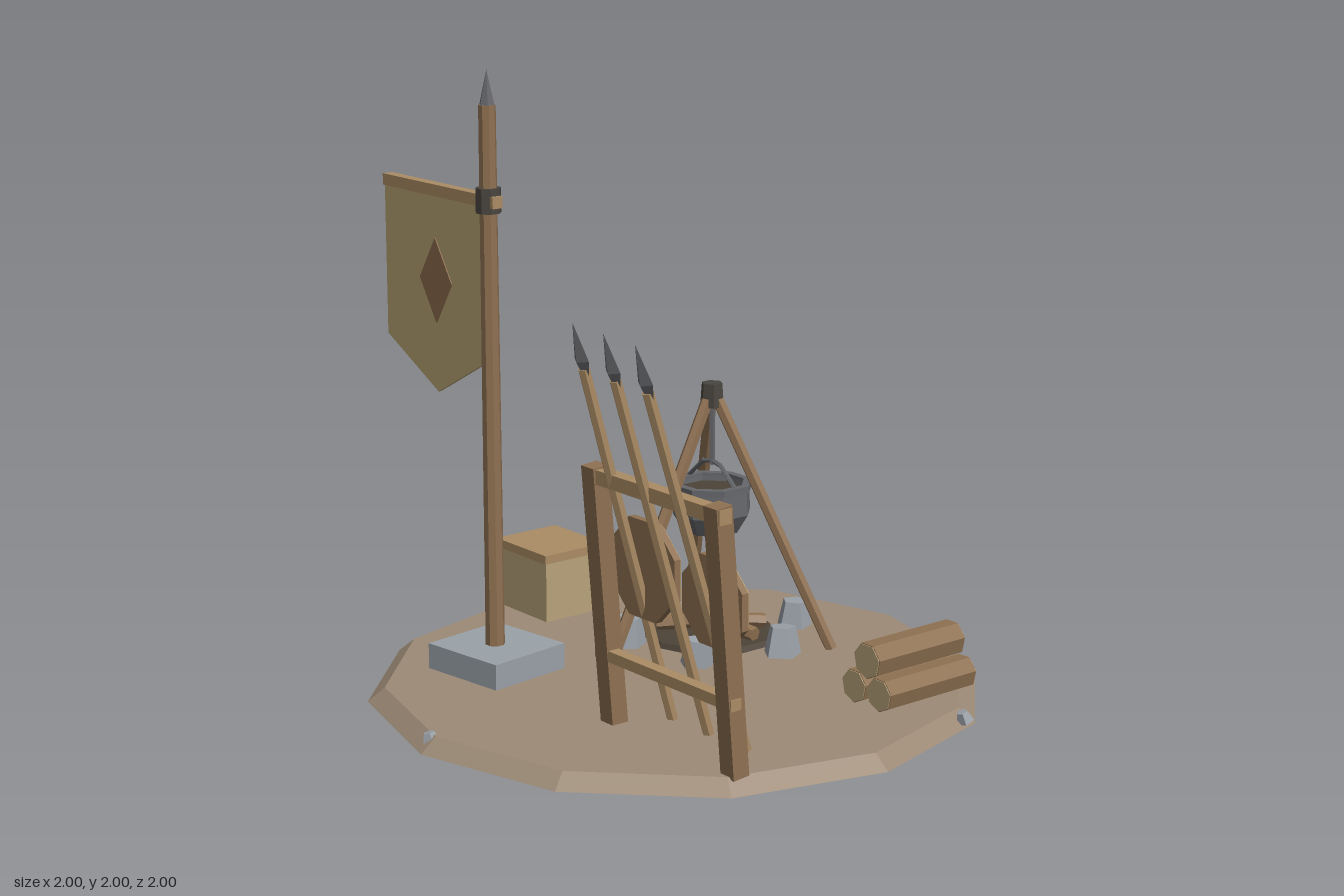
import * as THREE from 'three';

const mat = (color) => new THREE.MeshStandardMaterial({ color, flatShading: true, side: THREE.DoubleSide });
const M = {
  earth: mat(0x9c8a76), wood: mat(0x8f7152), light: mat(0xab8c65), dark: mat(0x5f4a35), pale: mat(0xb8a27a),
  cloth: mat(0xb5a272), emblem: mat(0x8a6a4a), stone: mat(0x9aa1a8), iron: mat(0x66676b), band: mat(0x4a4540), ash: mat(0x4d4338),
};
const V = (x, y, z) => new THREE.Vector3(x, y, z);

export function createModel() {
  const root = new THREE.Group();

  const group = (name, parent = root) => {
    const g = new THREE.Group();
    g.name = name;
    parent.add(g);
    return g;
  };
  const add = (parent, name, geo, material, x = 0, y = 0, z = 0) => {
    const m = new THREE.Mesh(geo, material);
    m.name = name;
    m.position.set(x, y, z);
    parent.add(m);
    return m;
  };
  const box = (p, name, w, h, d, material, x, y, z) => add(p, name, new THREE.BoxGeometry(w, h, d), material, x, y, z);
  const cyl = (p, name, rt, rb, h, n, material, x, y, z, turn = 0) =>
    add(p, name, new THREE.CylinderGeometry(rt, rb, h, n).rotateY(turn), material, x, y, z);
  // Round or square bar between two points
  const bar = (p, name, a, b, r, n, material, rTop = r, turn = 0) => {
    const d = b.clone().sub(a);
    const m = cyl(p, name, rTop, r, d.length(), n, material, 0, 0, 0, turn);
    m.position.copy(a).add(b).multiplyScalar(0.5);
    m.quaternion.setFromUnitVectors(V(0, 1, 0), d.normalize());
    return m;
  };
  const lathe = (p, name, pts, n, material, x, y, z) =>
    add(p, name, new THREE.LatheGeometry(pts.map(([r, h]) => new THREE.Vector2(r, h)), n, Math.PI / n), material, x, y, z);

  // Ground
  cyl(root, 'ground', 0.945, 1, 0.045, 12, M.earth, 0, 0.0225, 0);

  // Banner
  const banner = group('banner');
  box(banner, 'plinth', 0.32, 0.085, 0.305, M.stone, -0.4, 0.0875, 0.43).rotation.y = 0.13;
  cyl(banner, 'pole', 0.028, 0.032, 1.77, 8, M.wood, -0.4, 1.005, 0.435, Math.PI / 8);
  cyl(banner, 'poleTip', 0, 0.026, 0.11, 6, M.iron, -0.4, 1.945, 0.435);
  cyl(banner, 'poleBand', 0.041, 0.041, 0.08, 8, M.band, -0.4, 1.59, 0.435, Math.PI / 8);
  box(banner, 'crossbar', 0.62, 0.038, 0.038, M.light, -0.66, 1.588, 0.435);
  const flag = new THREE.Shape([[-0.98, 1.575], [-0.98, 1.068], [-0.69, 0.92], [-0.41, 1.068], [-0.41, 1.575]]
    .map(([x, y]) => new THREE.Vector2(x, y)));
  add(banner, 'flag', new THREE.ExtrudeGeometry(flag, { depth: 0.01, bevelEnabled: false }), M.cloth, 0, 0, 0.43);
  const diamond = new THREE.Shape([[0, 0.14], [-0.09, 0], [0, -0.14], [0.09, 0]].map(([x, y]) => new THREE.Vector2(x, y)));
  add(banner, 'flagDiamond', new THREE.ExtrudeGeometry(diamond, { depth: 0.018, bevelEnabled: false }), M.emblem, -0.69, 1.29, 0.426);

  // Tripod and pot
  const cx = -0.225, cz = -0.335;
  const tripod = group('tripod');
  for (let i = 0; i < 3; i++) {
    const a = (i * 2 * Math.PI) / 3;
    const s = Math.sin(a), c = Math.cos(a);
    bar(tripod, 'tripodLeg', V(cx + s * 0.425, 0.045, cz + c * 0.425), V(cx + s * 0.012, 0.88, cz + c * 0.012), 0.021, 6, M.wood);
  }
  cyl(tripod, 'tripodLashing', 0.036, 0.042, 0.08, 6, M.band, cx, 0.88, cz);
  bar(tripod, 'hangingRod', V(cx, 0.64, cz), V(cx, 0.86, cz), 0.01, 5, M.iron);
  const pot = group('pot');
  lathe(pot, 'potBody', [[0, 0.415], [0.095, 0.415], [0.135, 0.48], [0.13, 0.57], [0.112, 0.57], [0.11, 0.545]], 8, M.iron, cx, 0, cz);
  lathe(pot, 'potRim', [[0.112, 0.56], [0.14, 0.56], [0.14, 0.582], [0.112, 0.582], [0.112, 0.56]], 8, M.iron, cx, 0, cz);
  cyl(pot, 'stew', 0.113, 0.113, 0.01, 8, M.ash, cx, 0.55, cz, Math.PI / 8);
  for (const s of [-1, 1]) {
    bar(pot, 'potHandle', V(cx + s * 0.125, 0.575, cz), V(cx + s * 0.04, 0.648, cz), 0.008, 5, M.iron);
    bar(pot, 'potHandleTop', V(cx + s * 0.04, 0.645, cz), V(cx, 0.655, cz), 0.008, 5, M.iron);
  }

  // Fire pit
  const fire = group('firePit');
  cyl(fire, 'ashBed', 0.22, 0.23, 0.018, 10, M.ash, cx, 0.054, cz);
  for (const deg of [-122, -62, -12, 52, 132]) {
    const a = (deg * Math.PI) / 180;
    bar(fire, 'fireLog', V(cx + Math.cos(a) * 0.185, 0.082, cz + Math.sin(a) * 0.185), V(cx, 0.1, cz), 0.026, 6, M.wood);
  }
  const stones = [[-0.43, -0.59, 0.06], [-0.125, -0.62, 0.064], [0.075, -0.39, 0.067], [-0.015, -0.105, 0.063], [-0.325, -0.055, 0.068], [-0.53, -0.28, 0.05]];
  stones.forEach(([x, z, r], i) => {
    const m = cyl(fire, 'fireStone', r * 0.68, r, r * 1.5, 5, M.stone, x, 0.04 + r * 0.7, z);
    m.rotation.set(0.12 * Math.sin(i * 3), i * 1.3, 0.12 * Math.cos(i * 2));
  });
  for (const [x, z] of [[0.865, -0.45], [-0.03, 0.945]]) {
    cyl(root, 'pebble', 0.018, 0.03, 0.035, 5, M.stone, x, 0.033, z).rotation.set(0.2, x, 0.2);
  }

  // Crate
  const crate = group('crate');
  box(crate, 'crateBody', 0.265, 0.215, 0.235, M.pale, -0.812, 0.15, -0.097);
  box(crate, 'crateLid', 0.287, 0.03, 0.255, M.light, -0.812, 0.27, -0.097);

  // Barrel
  const barrel = group('barrel');
  const bx = -0.81, bz = -0.495;
  lathe(barrel, 'barrelBody', [[0, 0.045], [0.078, 0.045], [0.1, 0.11], [0.1, 0.17], [0.078, 0.24], [0, 0.24]], 8, M.light, bx, 0, bz);
  for (const y of [0.09, 0.195]) cyl(barrel, 'barrelHoop', 0.104, 0.104, 0.022, 8, M.iron, bx, y, bz, Math.PI / 8);
  cyl(barrel, 'barrelLid', 0.07, 0.07, 0.012, 8, M.pale, bx, 0.242, bz, Math.PI / 8);

  // Log pile
  const pile = group('logPile');
  for (const [x, y, r] of [[0.578, 0.1, 0.056], [0.692, 0.1, 0.056], [0.635, 0.197, 0.06]]) {
    bar(pile, 'log', V(x, y, -0.62), V(x, y, -0.25), r, 7, M.wood);
    bar(pile, 'logCutEnds', V(x, y, -0.623), V(x, y, -0.247), r * 0.95, 7, M.pale);
  }

  // Weapon rack, leaning forward
  const rack = group('weaponRack');
  for (const x of [0.235, 0.81]) {
    const post = box(rack, 'rackPost', 0.06, 0.84, 0.06, M.wood, x, 0.457, 0.473);
    post.rotation.x = 0.083;
  }
  box(rack, 'upperRail', 0.645, 0.045, 0.045, M.light, 0.522, 0.847, 0.507);
  box(rack, 'lowerRail', 0.645, 0.035, 0.04, M.light, 0.522, 0.272, 0.465);

  // Spears
  [0.33, 0.505, 0.68].forEach((x, i) => {
    const spear = group('spear', rack);
    const foot = V(x, 0.045, 0.285), tip = V(x, 1.35, 0.66 + i * 0.022);
    const at = (t) => foot.clone().lerp(tip, t);
    bar(spear, 'spearShaft', foot, at(0.89), 0.019, 6, M.light);
    bar(spear, 'spearSocket', at(0.875), at(0.91), 0.017, 4, M.iron, 0.034).scale.z = 0.6;
    bar(spear, 'spearPoint', at(0.91), tip, 0.034, 4, M.iron, 0).scale.z = 0.6;
  });

  // Shields hung on the back of the rack
  for (const [x, y, r] of [[0.333, 0.55, 0.168], [0.662, 0.528, 0.15]]) {
    const shield = group('shield', rack);
    const disc = (name, radius, z0, z1, n, material, rTop) =>
      add(shield, name, new THREE.CylinderGeometry(radius, rTop ?? radius, z1 - z0, n).rotateY(Math.PI / n).rotateX(Math.PI / 2), material, x, y, (z0 + z1) / 2);
    disc('shieldBoard', r, 0.382, 0.406, 8, M.wood);
    disc('shieldFace', r * 0.9, 0.368, 0.384, 8, M.cloth);
    disc('shieldBoss', 0.052, 0.346, 0.37, 6, M.iron, 0.04);
  }

  return root;
}
